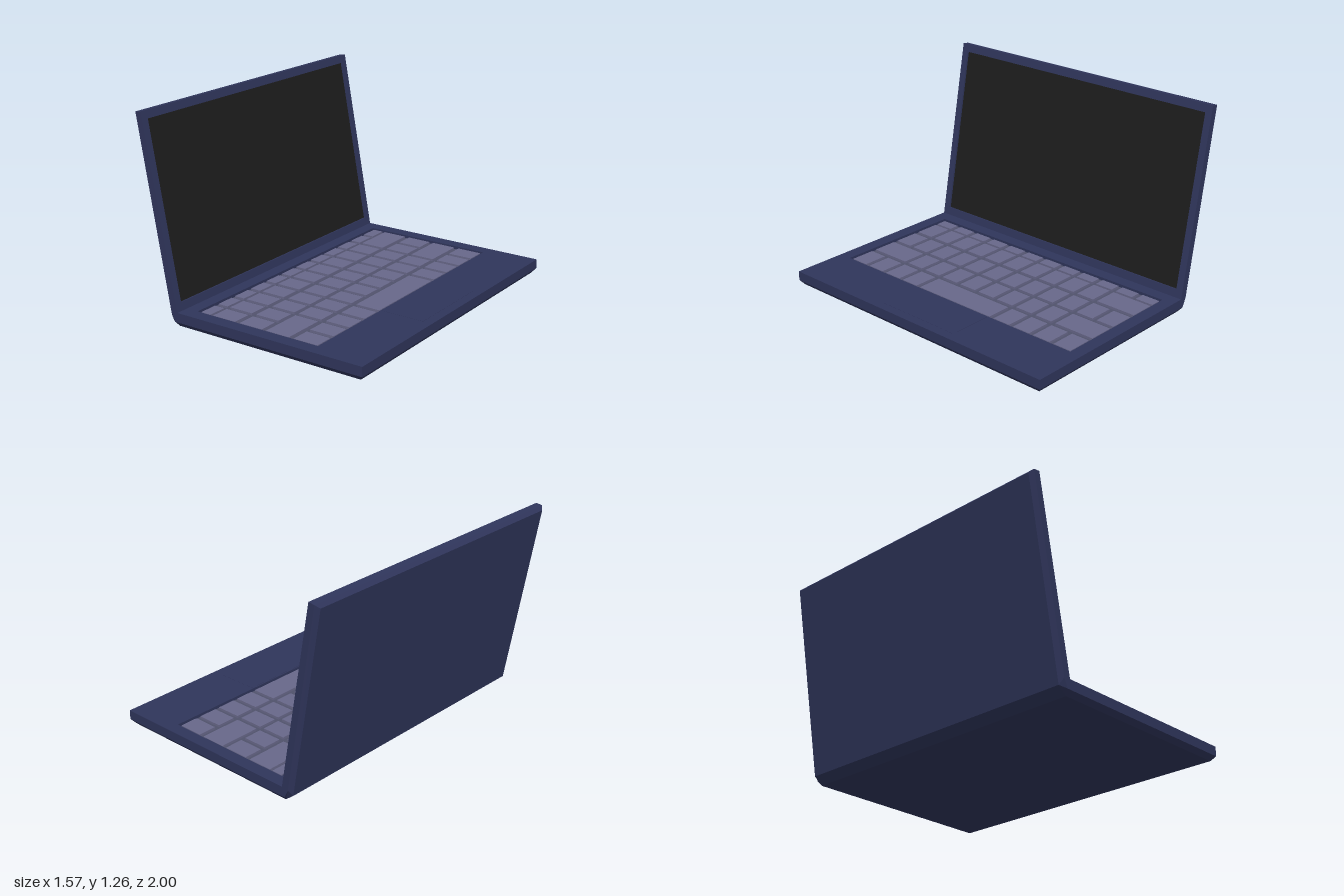
import * as THREE from 'three';

const mat = (color) => new THREE.MeshStandardMaterial({ color, flatShading: true });
const bodyMat = mat(0x2f355b);
const screenMat = mat(0x1d1d1d);
const bedMat = mat(0x50526c);
const keyMat = mat(0x68688a);

// Collects flat quads, dropping collapsed triangles
function quadBuilder() {
  const pos = [];
  const tri = (a, b, c) => {
    if (new THREE.Triangle(a, b, c).getArea() > 1e-9) pos.push(...a, ...b, ...c);
  };
  return {
    quad(a, b, c, d) { tri(a, b, c); tri(a, c, d); },
    // Skin between successive rings of points
    loft(rings, closed) {
      for (let i = 0; i + 1 < rings.length; i++) {
        const a = rings[i], b = rings[i + 1], n = a.length;
        for (let j = 0; j < (closed ? n : n - 1); j++) {
          const k = (j + 1) % n;
          this.quad(a[j], b[j], b[k], a[k]);
        }
      }
    },
    mesh(name, material) {
      const g = new THREE.BufferGeometry();
      g.setAttribute('position', new THREE.Float32BufferAttribute(pos, 3));
      g.computeVertexNormals();
      const m = new THREE.Mesh(g, material);
      m.name = name;
      return m;
    },
  };
}

// Bevelled outer casing, from the front edge round the hinge to the lid top
function casing() {
  // each station: inner edge, side crease, outer bevel edge (x, y)
  const stations = [
    [[0.785, 0.09], [0.785, 0.03], [0.76, 0]],
    [[-0.51, 0.09], [-0.53, 0.03], [-0.515, 0]],
    [[-0.51, 0.09], [-0.556, 0.085], [-0.572, 0.045]],
    [[-0.724, 1.26], [-0.766, 1.254], [-0.785, 1.233]],
  ];
  const halfWidth = [1, 1, 0.975];
  const rings = stations.map((s) => {
    const side = (sign) => s.map(([x, y], i) => new THREE.Vector3(x, y, sign * halfWidth[i]));
    return [...side(1), ...side(-1).reverse()];
  });
  const b = quadBuilder();
  b.loft(rings, false);
  const f = rings[0], t = rings[3];
  b.quad(f[0], f[1], f[4], f[5]);
  b.quad(f[1], f[2], f[3], f[4]);
  b.quad(t[5], t[4], t[1], t[0]);
  b.quad(t[4], t[3], t[2], t[1]);
  return b.mesh('casing', bodyMat);
}

// Flat face with a rectangular recess, plus the recess floor
function recessedFace(name, length, [x0, x1, z0, z1], depth, floorName, floorMat) {
  const ring = (xa, xb, za, zb, y) =>
    [[xa, za], [xb, za], [xb, zb], [xa, zb]].map(([x, z]) => new THREE.Vector3(x, y, z));
  const b = quadBuilder();
  b.loft([ring(0, length, -1, 1, 0), ring(x0, x1, z0, z1, 0), ring(x0, x1, z0, z1, -depth)], true);
  const floor = new THREE.Mesh(new THREE.PlaneGeometry(x1 - x0, z1 - z0).rotateX(-Math.PI / 2), floorMat);
  floor.name = floorName;
  floor.position.set((x0 + x1) / 2, -depth, (z0 + z1) / 2);
  const group = new THREE.Group();
  group.add(b.mesh(name, bodyMat), floor);
  return group;
}

// Key grid; "wide" lists [first, last] slots joined into one long key
function keyboard() {
  const rows = [
    { x: [-0.415, -0.345], wide: [] },
    { x: [-0.325, -0.163], wide: [[0, 1]] },
    { x: [-0.13, 0.032], wide: [] },
    { x: [0.062, 0.224], wide: [[0, 1], [10, 11]] },
    { x: [0.257, 0.42], wide: [[4, 7]] },
  ];
  const start = -0.908, pitch = 0.1532, size = 0.122, height = 0.014;
  const group = new THREE.Group();
  group.name = 'keys';
  for (const { x: [xa, xb], wide } of rows) {
    for (let i = 0; i < 12; i++) {
      const span = wide.find(([first]) => first === i);
      const last = span ? span[1] : i;
      const depth = (last - i) * pitch + size;
      const key = new THREE.Mesh(new THREE.BoxGeometry(xb - xa, height, depth), keyMat);
      key.name = span ? 'wideKey' : 'key';
      key.position.set((xa + xb) / 2, 0.07 + height / 2, start + i * pitch + depth / 2);
      group.add(key);
      i = last;
    }
  }
  return group;
}

export function createModel() {
  const model = new THREE.Group();
  model.name = 'laptop';
  model.add(casing(), keyboard());

  // Palm rest face with the sunken key bed
  const deck = recessedFace('deck', 1.295, [0.08, 0.945, -0.92, 0.915], 0.02, 'keyBed', bedMat);
  deck.name = 'base';
  deck.position.set(-0.51, 0.09, 0);
  model.add(deck);

  // Touchpad, almost flush with the deck
  const pad = new THREE.Mesh(new THREE.BoxGeometry(0.28, 0.002, 0.59), bodyMat);
  pad.name = 'touchpad';
  pad.position.set(0.585, 0.09, 0);
  model.add(pad);

  // Screen face, measured from the lid top down to the hinge
  const dx = 0.214, dy = -1.17;
  const lid = recessedFace('bezel', Math.hypot(dx, dy), [0.05, 1.138, -0.955, 0.955], 0.012, 'screen', screenMat);
  lid.name = 'lid';
  lid.position.set(-0.724, 1.26, 0);
  lid.rotation.z = Math.atan2(dy, dx);
  model.add(lid);

  return model;
}
